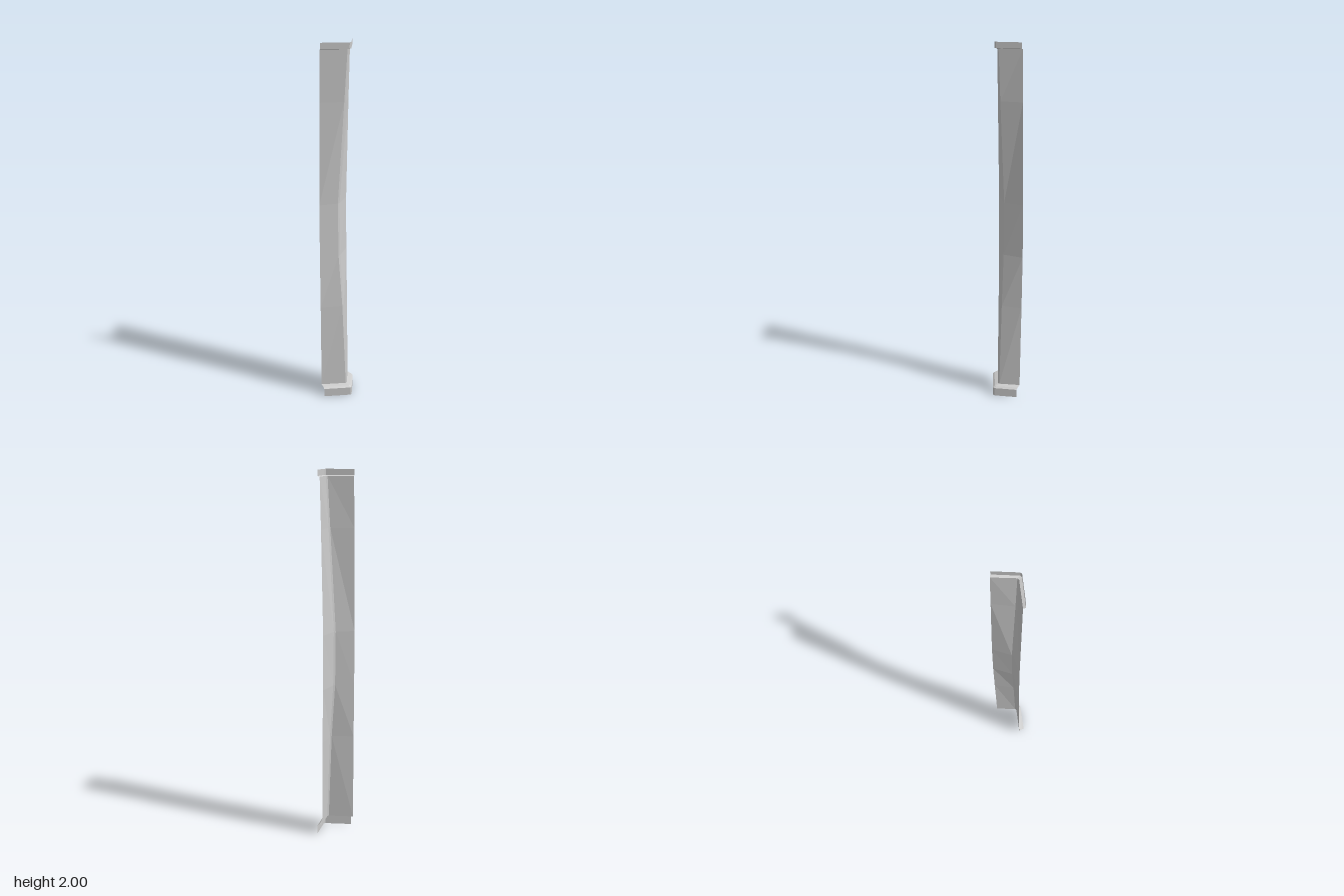
import * as THREE from 'three';

const BEVEL = 0.007;

// Each row: [y, left end x, z, corner x, z, right end x, z]; the corner gets a small bevel.
function section([y, ax, az, cx, cz, bx, bz]) {
  const a = new THREE.Vector3(ax, y, az);
  const c = new THREE.Vector3(cx, y, cz);
  const b = new THREE.Vector3(bx, y, bz);
  const towards = (p) => c.clone().add(p.clone().sub(c).setLength(BEVEL));
  return [a, towards(a), towards(b), b];
}

// Thin angled sheet lofted through the rows, listed from bottom to top.
function angleSheet(name, rows, material) {
  const sections = rows.map(section);
  const points = sections.flat();
  const n = sections[0].length;
  const index = [];
  for (let r = 0; r < sections.length - 1; r++) {
    for (let i = 0; i < n - 1; i++) {
      const p = r * n + i;
      index.push(p, p + 1, p + n + 1, p, p + n + 1, p + n);
    }
  }
  const geometry = new THREE.BufferGeometry().setFromPoints(points);
  geometry.setIndex(index);
  geometry.computeVertexNormals();
  const mesh = new THREE.Mesh(geometry, material);
  mesh.name = name;
  return mesh;
}

export function createModel() {
  const group = new THREE.Group();
  group.name = 'cornerTrim';
  const material = new THREE.MeshStandardMaterial({
    color: 0xcccccc, flatShading: true, side: THREE.DoubleSide,
  });

  const columnBottom = [0.062, -0.09, 0.058, 0.055, 0.046, 0.063, -0.077];
  const columnTop = [1.965, -0.087, 0.053, 0.057, 0.043, 0.067, -0.083];

  // Flared foot
  group.add(angleSheet('foot', [
    [0, -0.075, 0.087, 0.081, 0.073, 0.093, -0.062],
    [0.048, -0.075, 0.087, 0.081, 0.073, 0.093, -0.062],
    [0.056, -0.08, 0.077, 0.072, 0.063, 0.082, -0.067],
    columnBottom,
  ], material));

  // Long column whose corner bows inward at mid height
  group.add(angleSheet('column', [
    columnBottom,
    [0.55, -0.092, 0.051, 0.035, 0.032, 0.058, -0.085],
    [0.85, -0.094, 0.048, 0.014, 0.022, 0.053, -0.089],
    [1.15, -0.095, 0.047, 0.010, 0.019, 0.051, -0.09],
    [1.7, -0.09, 0.051, 0.042, 0.036, 0.061, -0.085],
    columnTop,
  ], material));

  // Ledge and upright band at the top
  group.add(angleSheet('topCollar', [
    columnTop,
    [1.969, -0.086, 0.066, 0.067, 0.056, 0.079, -0.08],
    [2, -0.086, 0.066, 0.067, 0.056, 0.079, -0.08],
  ], material));

  return group;
}
